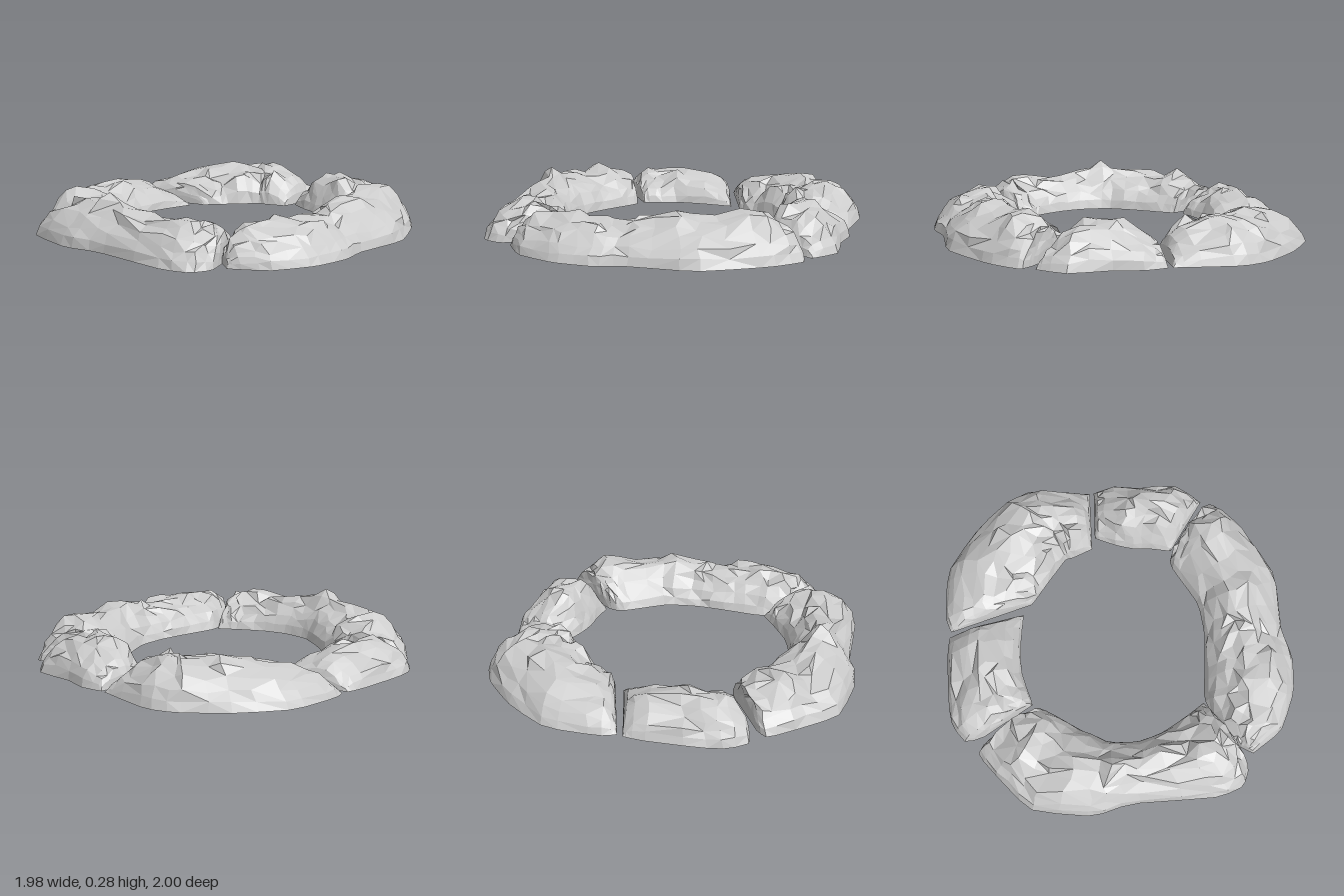
import * as THREE from 'three';

// Repeatable noise in 0..1 from two integers and a seed
function hash(i, j, seed) {
  const s = Math.sin(i * 127.1 + j * 311.7 + seed * 74.7) * 43758.5453;
  return s - Math.floor(s);
}

// Each rock: stations along the ring, [outerX, outerZ, innerX, innerZ, height]
const ROCKS = {
  backLeftRock: [
    [-0.97, -0.13, -0.48, -0.27, 0.13], [-0.99, -0.22, -0.46, -0.3, 0.14], [-0.97, -0.51, -0.4, -0.38, 0.18],
    [-0.8, -0.76, -0.32, -0.48, 0.2], [-0.6, -0.94, -0.27, -0.54, 0.21], [-0.44, -1.0, -0.22, -0.55, 0.21],
    [-0.1, -0.97, -0.11, -0.59, 0.2]],
  backRightRock: [
    [-0.075, -0.97, -0.09, -0.66, 0.18], [0.05, -0.99, 0.03, -0.61, 0.19], [0.2, -0.96, 0.13, -0.58, 0.19],
    [0.43, -0.97, 0.23, -0.57, 0.2], [0.57, -0.86, 0.35, -0.54, 0.18]],
  rightRock: [
    [0.57, -0.79, 0.36, -0.53, 0.17], [0.64, -0.83, 0.345, -0.48, 0.18], [0.78, -0.68, 0.36, -0.42, 0.2],
    [0.95, -0.35, 0.48, -0.2, 0.2], [0.95, 0, 0.5, 0, 0.18], [0.99, 0.17, 0.48, 0.2, 0.18],
    [0.97, 0.38, 0.46, 0.38, 0.19], [0.87, 0.6, 0.52, 0.54, 0.17], [0.7, 0.72, 0.6, 0.66, 0.15]],
  frontRock: [
    [0.62, 0.68, 0.45, 0.4, 0.16], [0.665, 0.79, 0.4, 0.44, 0.17], [0.62, 0.9, 0.34, 0.48, 0.18],
    [0.46, 0.95, 0.2, 0.56, 0.19], [0.0, 0.95, 0.06, 0.6, 0.2], [-0.22, 1.0, -0.1, 0.59, 0.21],
    [-0.55, 0.94, -0.25, 0.51, 0.2], [-0.7, 0.78, -0.38, 0.42, 0.19], [-0.83, 0.61, -0.46, 0.37, 0.17],
    [-0.79, 0.55, -0.49, 0.38, 0.16]],
  leftRock: [
    [-0.8, 0.51, -0.51, 0.34, 0.14], [-0.9, 0.53, -0.52, 0.31, 0.15], [-0.97, 0.43, -0.54, 0.25, 0.16],
    [-0.99, 0.3, -0.57, 0.12, 0.17], [-0.99, 0, -0.56, -0.05, 0.16], [-0.98, -0.1, -0.53, -0.21, 0.15]],
};

// Sharp crests: [x, z, extra height, radius]
const PEAKS = [
  [-0.1, 0.76, 0.09, 0.1], [0.28, -0.65, 0.09, 0.1], [-0.37, -0.49, 0.13, 0.09], [-0.22, -0.6, 0.1, 0.09],
  [0.66, -0.2, 0.06, 0.12], [0.6, -0.6, 0.05, 0.14], [-0.55, 0.65, 0.02, 0.14],
];

// Dome cross-section from outer foot to inner foot: [across, height]
const DOME = [[0, 0], [0.035, 0.26], [0.1, 0.48], [0.2, 0.7], [0.32, 0.88], [0.45, 1],
  [0.57, 1], [0.69, 0.9], [0.8, 0.74], [0.9, 0.52], [0.97, 0.26], [1, 0]];

function rockGeometry(stations, seed) {
  const rail = (a, b) => new THREE.CatmullRomCurve3(
    stations.map(s => new THREE.Vector3(s[a], s[4], s[b])), false, 'catmullrom', 0.25);
  const outer = rail(0, 1), inner = rail(2, 3);
  const length = (outer.getLength() + inner.getLength()) / 2;
  const n = Math.round(length / 0.07);

  // Extra rows close to each end make the steep end walls
  const rows = [0, 0.012, 0.035];
  for (let i = 1; i < n; i++) rows.push((i / n) * length);
  rows.push(length - 0.035, length - 0.012, length);

  const pos = [], index = [], cols = DOME.length;
  rows.forEach((d, i) => {
    const o = outer.getPoint(d / length), q = inner.getPoint(d / length);
    const e = Math.min(1, Math.min(d, length - d) / 0.22);
    const rise = Math.sqrt(1 - (1 - e) ** 2.2);
    const pinch = 0.02 * (1 - e) ** 2; // rounds the footprint corners
    DOME.forEach(([a, h], j) => {
      const p = o.clone().lerp(q, pinch + a * (1 - 2 * pinch));
      const loose = rise * Math.min(1, h * 1.3);
      let y = p.y * h * rise;
      y += loose * (0.012 * Math.sin(p.x * 17 + p.z * 12 + seed) + 0.038 * (hash(i, j, seed) - 0.5));
      for (const [x, z, up, r] of PEAKS) {
        y += loose * up * Math.max(0, 1 - Math.hypot(p.x - x, p.z - z) / r);
      }
      const shift = 0.05 * Math.min(1, h * 1.2) * e;
      p.x += shift * (hash(i, j, seed + 9) - 0.5);
      p.z += shift * (hash(i, j, seed + 17) - 0.5);
      pos.push(p.x, Math.max(0, y), p.z);
    });
  });

  // Facets, with the diagonal flipped irregularly
  for (let i = 0; i < rows.length - 1; i++) {
    for (let j = 0; j < cols - 1; j++) {
      const a = i * cols + j, b = a + 1, c = a + cols, d = c + 1;
      if (hash(i, j, seed + 31) > 0.5) index.push(a, b, c, b, d, c);
      else index.push(a, b, d, a, d, c);
    }
  }
  const g = new THREE.BufferGeometry();
  g.setAttribute('position', new THREE.Float32BufferAttribute(pos, 3));
  g.setIndex(index);
  g.computeVertexNormals();
  return g;
}

export function createModel() {
  const group = new THREE.Group();
  group.name = 'rockRing';
  // Hollow shells, open underneath
  const stone = new THREE.MeshStandardMaterial({ color: 0xcccccc, flatShading: true, side: THREE.DoubleSide });
  Object.entries(ROCKS).forEach(([name, stations], k) => {
    const rock = new THREE.Mesh(rockGeometry(stations, k + 1), stone);
    rock.name = name;
    group.add(rock);
  });
  return group;
}
